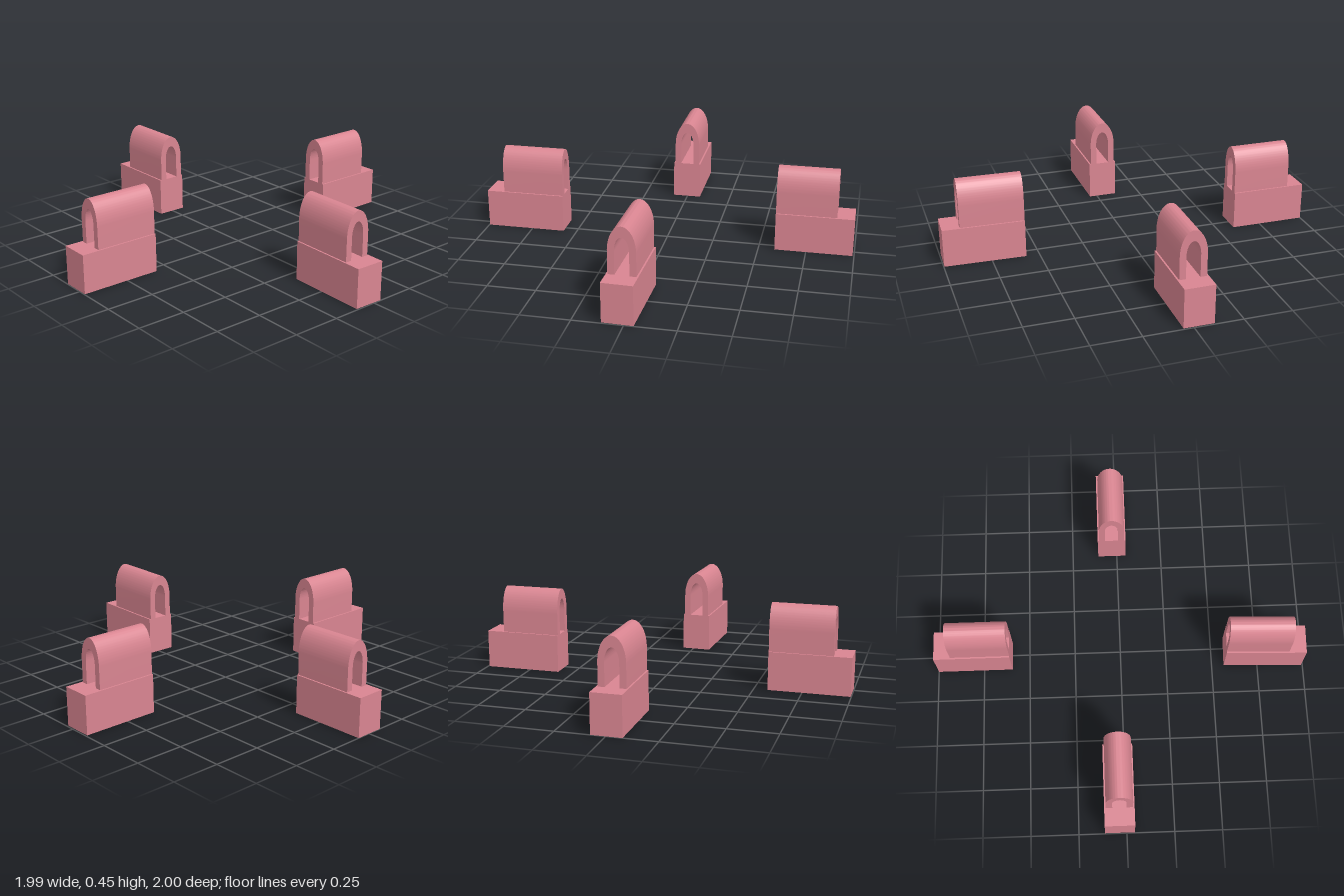
import * as THREE from 'three';
import { toCreasedNormals } from 'three/addons/utils/BufferGeometryUtils.js';

const BASE_HEIGHT = 0.203;
const BASE_WIDTH = 0.155;

// Upside-down U: straight legs joined by tall elliptical inner and outer curves
function archGeometry(length) {
  const outer = 0.069, inner = 0.036, bottom = BASE_HEIGHT, spring = 0.32;
  const shape = new THREE.Shape();
  shape.moveTo(outer, bottom);
  shape.lineTo(outer, spring);
  shape.absellipse(0, spring, outer, 0.447 - spring, 0, Math.PI, false, 0);
  shape.lineTo(-outer, bottom);
  shape.lineTo(-inner, bottom);
  shape.lineTo(-inner, spring);
  shape.absellipse(0, spring, inner, 0.392 - spring, Math.PI, 0, true, 0);
  shape.lineTo(inner, bottom);
  shape.closePath();
  const geometry = new THREE.ExtrudeGeometry(shape, { depth: length, bevelEnabled: false, curveSegments: 32 });
  return toCreasedNormals(geometry, 0.6);
}

// One block with its tunnel arch; the inner ends are flush at local z = 0
function createUnit(name, baseLength, archLength, material) {
  const unit = new THREE.Group();
  unit.name = name;

  const base = new THREE.Mesh(new THREE.BoxGeometry(BASE_WIDTH, BASE_HEIGHT, baseLength), material);
  base.name = 'base';
  base.position.set(0, BASE_HEIGHT / 2, baseLength / 2);

  const arch = new THREE.Mesh(archGeometry(archLength), material);
  arch.name = 'arch';

  unit.add(base, arch);
  return unit;
}

export function createModel() {
  const model = new THREE.Group();
  model.name = 'archedBlocks';
  const material = new THREE.MeshStandardMaterial({ color: 0xd98591 });

  // Four units pointing outward: inner end x and z, turn, base and arch length
  const units = [
    ['frontUnit', -0.018, 0.568, -0.03, 0.427, 0.335],
    ['leftUnit', 0.585, -0.028, Math.PI / 2, 0.407, 0.316],
    ['backUnit', -0.003, -0.595, Math.PI, 0.405, 0.316],
    ['rightUnit', -0.572, -0.036, -Math.PI / 2, 0.425, 0.332],
  ];
  for (const [name, x, z, turn, baseLength, archLength] of units) {
    const unit = createUnit(name, baseLength, archLength, material);
    unit.position.set(x, 0, z);
    unit.rotation.y = turn;
    model.add(unit);
  }
  return model;
}
